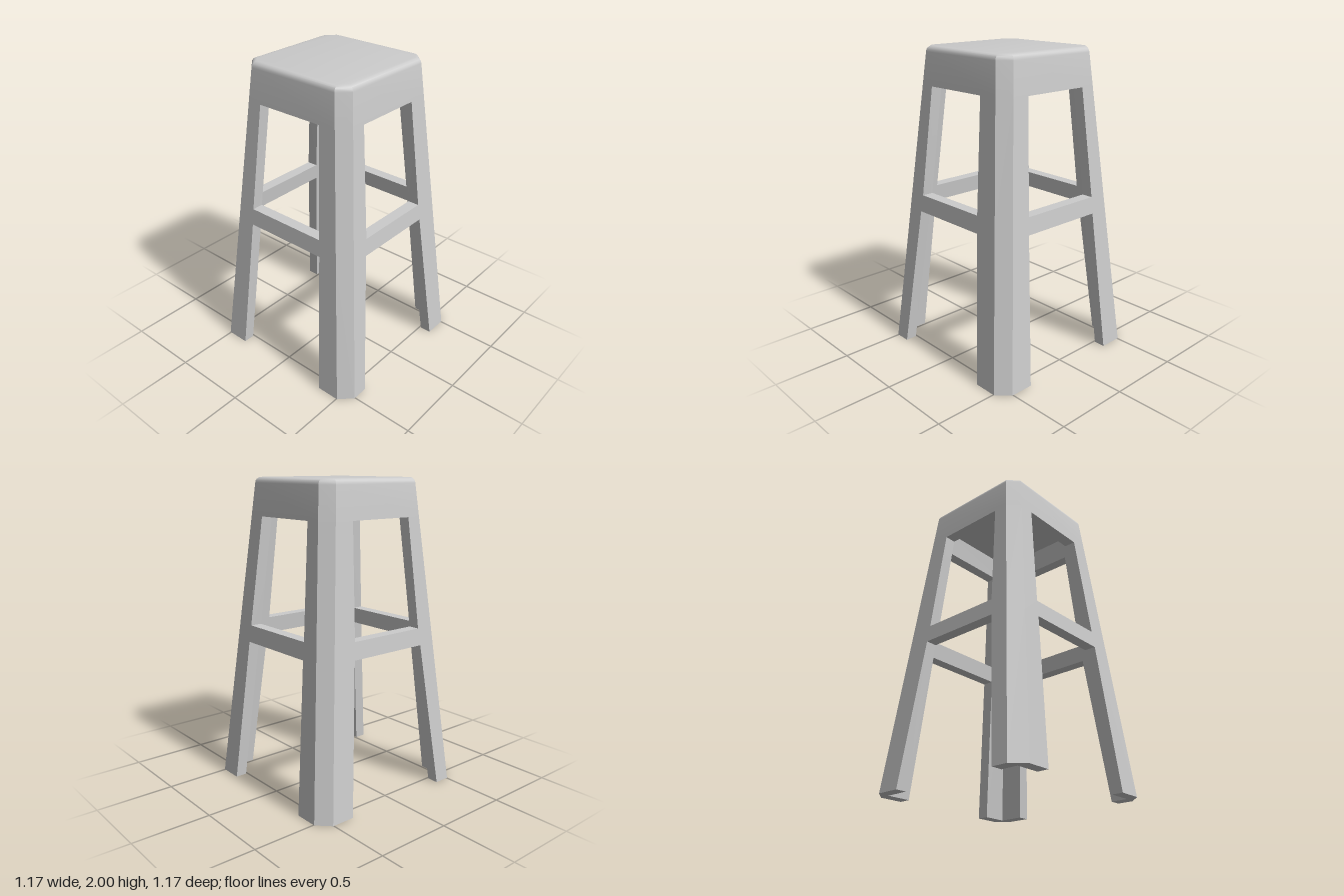
import * as THREE from 'three';
import { toCreasedNormals } from 'three/addons/utils/BufferGeometryUtils.js';

const WALL = 0.075;                       // thickness of aprons, rails and leg walls
const LEVELS = [0, 0.95, 1.06, 1.76];     // floor, rail bottom, rail top, apron bottom
// distance of each opening edge from the centre line at those levels
const EDGE = {
  xNeg: [0.40, 0.30, 0.287, 0.245],
  xPos: [0.35, 0.26, 0.25, 0.21],
  zNeg: [0.35, 0.29, 0.287, 0.242],
  zPos: [0.35, 0.285, 0.276, 0.223],
};
const half = (y) => 0.585 - 0.099 * y;    // tapering half width of the stool
const chamfer = (y) => 0.08 - 0.005 * y;  // corner chamfer

// Skins a list of equal-length point rings and closes both ends.
function loft(rings) {
  const n = rings[0].length;
  const tris = [];
  for (let r = 0; r < rings.length - 1; r++) {
    for (let i = 0; i < n; i++) {
      const j = (i + 1) % n;
      const [a, b, c, d] = [rings[r][i], rings[r][j], rings[r + 1][j], rings[r + 1][i]];
      tris.push([a, b, c], [a, c, d]);
    }
  }
  const cap = (ring, flip) => {
    // project on the plane the ring mostly lies in
    const size = new THREE.Box3().setFromPoints(ring).getSize(new THREE.Vector3());
    const axes = ['x', 'y', 'z'].sort((p, q) => size[q] - size[p]).slice(0, 2);
    const flat = ring.map((p) => new THREE.Vector2(p[axes[0]], p[axes[1]]));
    const normal = (pts) => pts.reduce((s, p, i) => s.add(
      new THREE.Vector3().crossVectors(p, pts[(i + 1) % pts.length])), new THREE.Vector3());
    const want = normal(ring).multiplyScalar(flip ? -1 : 1);
    for (const f of THREE.ShapeUtils.triangulateShape(flat, [])) {
      const t = f.map((k) => ring[k]);
      tris.push(normal(t).dot(want) < 0 ? t.reverse() : t);
    }
  };
  cap(rings[0], true);
  cap(rings[rings.length - 1], false);

  // drop empty triangles and turn the skin outward
  const ab = new THREE.Vector3(), ac = new THREE.Vector3();
  const solid = tris.filter(([a, b, c]) =>
    ab.subVectors(b, a).cross(ac.subVectors(c, a)).length() > 1e-9);
  const volume = solid.reduce((s, [a, b, c]) => s + ab.crossVectors(a, b).dot(c), 0);
  if (volume < 0) solid.forEach((t) => t.reverse());
  const geo = new THREE.BufferGeometry().setFromPoints(solid.flat());
  return toCreasedNormals(geo, 0.5);
}

// Octagon: a square of half width h with corners cut by c.
function octagon(h, c, y) {
  const k = h - c;
  return [[h, -k], [h, k], [k, h], [-k, h], [-h, k], [-h, -k], [-k, -h], [k, -h]]
    .map(([x, z]) => new THREE.Vector3(x, y, z));
}

export function createModel() {
  const group = new THREE.Group();
  const material = new THREE.MeshStandardMaterial({ color: 0xcccccc });
  const add = (name, rings) => {
    const mesh = new THREE.Mesh(loft(rings), material);
    mesh.name = name;
    group.add(mesh);
  };

  // Seat with apron: hollow underneath, rounded upper edge
  const apron = LEVELS[3], ceiling = 1.91, r = 0.035, steps = 4;
  const seat = [
    octagon(half(ceiling) - WALL, 0, ceiling),
    octagon(half(apron) - WALL, 0, apron),
    octagon(half(apron), chamfer(apron), apron),
  ];
  for (let i = 0; i <= steps; i++) {
    const a = (i / steps) * Math.PI / 2;
    const inset = r * (1 - Math.cos(a));
    const y = 2 - r + r * Math.sin(a);
    seat.push(octagon(half(2 - r) - inset, chamfer(2) - 0.586 * inset, y));
  }
  add('seat', seat);

  // Four splayed legs with an angle-shaped section
  for (const sx of [-1, 1]) {
    for (const sz of [-1, 1]) {
      const ex = sx < 0 ? EDGE.xNeg : EDGE.xPos;
      const ez = sz < 0 ? EDGE.zNeg : EDGE.zPos;
      const rings = LEVELS.map((y, i) => {
        const h = half(y), c = chamfer(y), w = h - WALL;
        return [[ex[i], h], [h - c, h], [h, h - c], [h, ez[i]], [w, ez[i]], [w, w], [ex[i], w]]
          .map(([x, z]) => new THREE.Vector3(sx * x, y, sz * z));
      });
      add((sz > 0 ? 'front' : 'back') + (sx > 0 ? 'Left' : 'Right') + 'Leg', rings);
    }
  }

  // Four rails between the legs, leaning with the taper
  const rail = (name, neg, pos, place) => {
    const end = (edge, s) => [[1, 0], [2, 0], [2, WALL], [1, WALL]].map(([i, t]) =>
      place(s * edge[i], LEVELS[i], half(LEVELS[i]) - t));
    add(name, [end(neg, -1), end(pos, 1)]);
  };
  for (const s of [-1, 1]) {
    rail(s > 0 ? 'frontRail' : 'backRail', EDGE.xNeg, EDGE.xPos,
      (u, y, w) => new THREE.Vector3(u, y, s * w));
    rail(s > 0 ? 'leftRail' : 'rightRail', EDGE.zNeg, EDGE.zPos,
      (u, y, w) => new THREE.Vector3(s * w, y, u));
  }
  return group;
}
